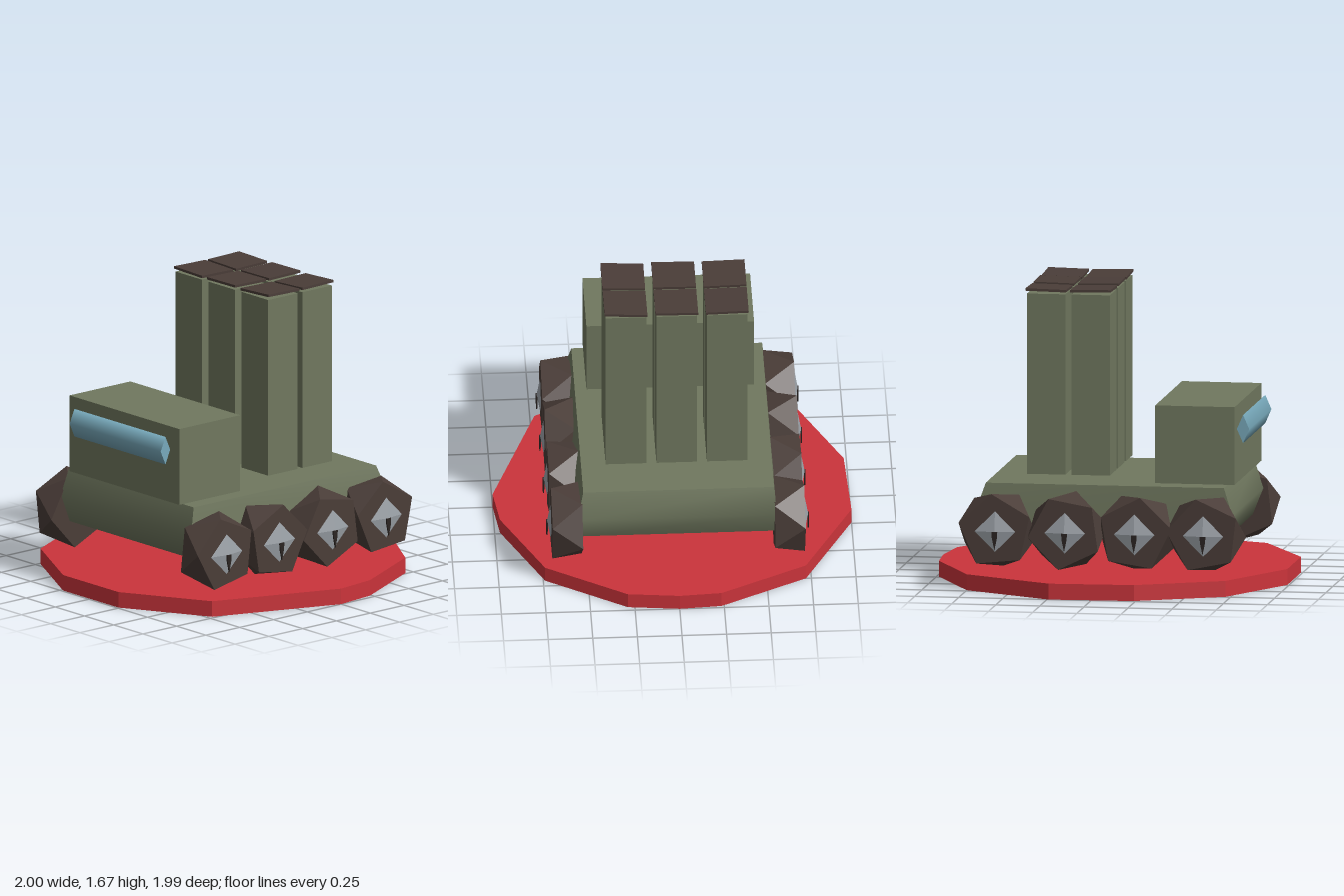
import * as THREE from 'three';
import { toCreasedNormals } from 'three/addons/utils/BufferGeometryUtils.js';

const mat = (name, color) => {
  const m = new THREE.MeshStandardMaterial({ color });
  m.name = name;
  return m;
};

export function createModel() {
  const root = new THREE.Group();
  root.name = 'launcherTruck';
  const green = mat('olive green', 0x70785f);
  const brown = mat('dark brown', 0x4a3d38);
  const red = mat('base red', 0xcb343b);
  const blue = mat('window blue', 0x78aabc);
  const grey = mat('hub grey', 0x9ca2a8);
  const dark = mat('hub slot', 0x2a2422);

  const add = (parent, name, geo, material, x = 0, y = 0, z = 0) => {
    const m = new THREE.Mesh(geo, material);
    m.name = name;
    m.position.set(x, y, z);
    parent.add(m);
    return m;
  };
  // box given by its minimum and maximum corners
  const block = (name, material, [x0, x1], [y0, y1], [z0, z1]) =>
    add(root, name, new THREE.BoxGeometry(x1 - x0, y1 - y0, z1 - z0), material,
      (x0 + x1) / 2, (y0 + y1) / 2, (z0 + z1) / 2);
  const shape = pts => new THREE.Shape(pts.map(p => new THREE.Vector2(p[0], p[1])));

  // irregular many-sided base plate, outline in (x, z)
  const rim = [[-.235, -.985], [0, -1], [.29, -.97], [.74, -.7], [.97, -.24], [1, 0], [.73, .72],
    [.24, .99], [-.235, .99], [-.74, .72], [-.98, .24], [-1, -.24], [-.72, -.75]];
  const plate = new THREE.ExtrudeGeometry(shape(rim.map(([x, z]) => [x, -z])),
    { depth: .09, bevelEnabled: false });
  plate.rotateX(-Math.PI / 2);
  add(root, 'basePlate', plate, red);

  // hull: side profile in (z, y) swept across the width, narrowing at the deck
  const profile = [[.68, .585], [.73, .43], [.67, .28], [-.67, .28], [-.725, .43], [-.67, .585]];
  const hull = new THREE.ExtrudeGeometry(shape(profile.map(([z, y]) => [-z, y])),
    { depth: 1.12, bevelEnabled: false });
  hull.translate(0, 0, -.56);
  hull.rotateY(Math.PI / 2);
  const hp = hull.attributes.position;
  for (let i = 0; i < hp.count; i++) {
    if (hp.getY(i) > .5) hp.setX(i, hp.getX(i) * .955 - .01);
  }
  add(root, 'hull', toCreasedNormals(hull, 1.2), green);

  // cab with a diamond-section window bar
  block('cab', green, [-.48, .46], [.595, 1.035], [.28, .73]);
  const bar = new THREE.CylinderGeometry(1, 1, .78, 4);
  bar.rotateZ(Math.PI / 2);
  bar.scale(1, .08, .035);
  add(root, 'windscreen', bar, blue, -.008, .9, .765);

  // six upright launch tubes with thin, slightly tilted lids
  [-.293, -.01, .275].forEach((x, i) => {
    [-.098, -.35].forEach((z, j) => {
      block('launchTube', green, [x - .114, x + .114], [.62, 1.64], [z - .109, z + .109]);
      const lid = add(root, 'tubeLid', new THREE.BoxGeometry(.24, .014, .23), brown, x, 1.658, z - .002);
      lid.rotation.z = (i - 1) * .035 + .01;
      lid.rotation.x = j ? .02 : -.02;
    });
  });

  // faceted wheel: two five-sided rings, twisted against each other, along +x
  const wheelGeometry = spin => {
    const n = 5, v = [];
    const ring = (x, r, turn) => Array.from({ length: n }, (_, i) => {
      const a = (i + turn) / n * Math.PI * 2 + spin;
      return [x, Math.cos(a) * r, Math.sin(a) * r];
    });
    const outer = ring(.085, .212, 0), inner = ring(-.085, .218, .5);
    const tri = (...p) => p.forEach(q => v.push(...q));
    for (let i = 0; i < n; i++) {
      const k = (i + 1) % n;
      tri([.085, 0, 0], outer[i], outer[k]);
      tri([-.085, 0, 0], inner[k], inner[i]);
      tri(outer[i], inner[i], outer[k]);
      tri(outer[k], inner[i], inner[k]);
    }
    const g = new THREE.BufferGeometry();
    g.setAttribute('position', new THREE.Float32BufferAttribute(v, 3));
    g.computeVertexNormals();
    return g;
  };

  // shallow four-sided hub and a small dart-shaped slot plate
  const hub = new THREE.ConeGeometry(.115, .02, 4).toNonIndexed();
  hub.rotateZ(-Math.PI / 2);
  hub.computeVertexNormals();
  const slot = new THREE.ExtrudeGeometry(
    shape([[-.016, 0], [-.014, -.035], [0, -.1], [.014, -.035], [.016, 0]]),
    { depth: .008, bevelEnabled: false });
  slot.rotateY(Math.PI / 2);

  for (const side of [1, -1]) {
    [.59, .2, -.195, -.59].forEach((z, i) => {
      const wheel = new THREE.Group();
      wheel.name = (side > 0 ? 'left' : 'right') + 'Wheel' + (i + 1);
      wheel.position.set(side > 0 ? .616 : -.632, .335, z);
      if (side < 0) wheel.rotation.y = Math.PI;
      add(wheel, 'tyre', wheelGeometry([.2, -.15, .45, .1][i]), brown);
      add(wheel, 'hub', hub, grey, .098);
      add(wheel, 'hubSlot', slot, dark, .104, 0, 0);
      root.add(wheel);
    });
  }
  return root;
}
